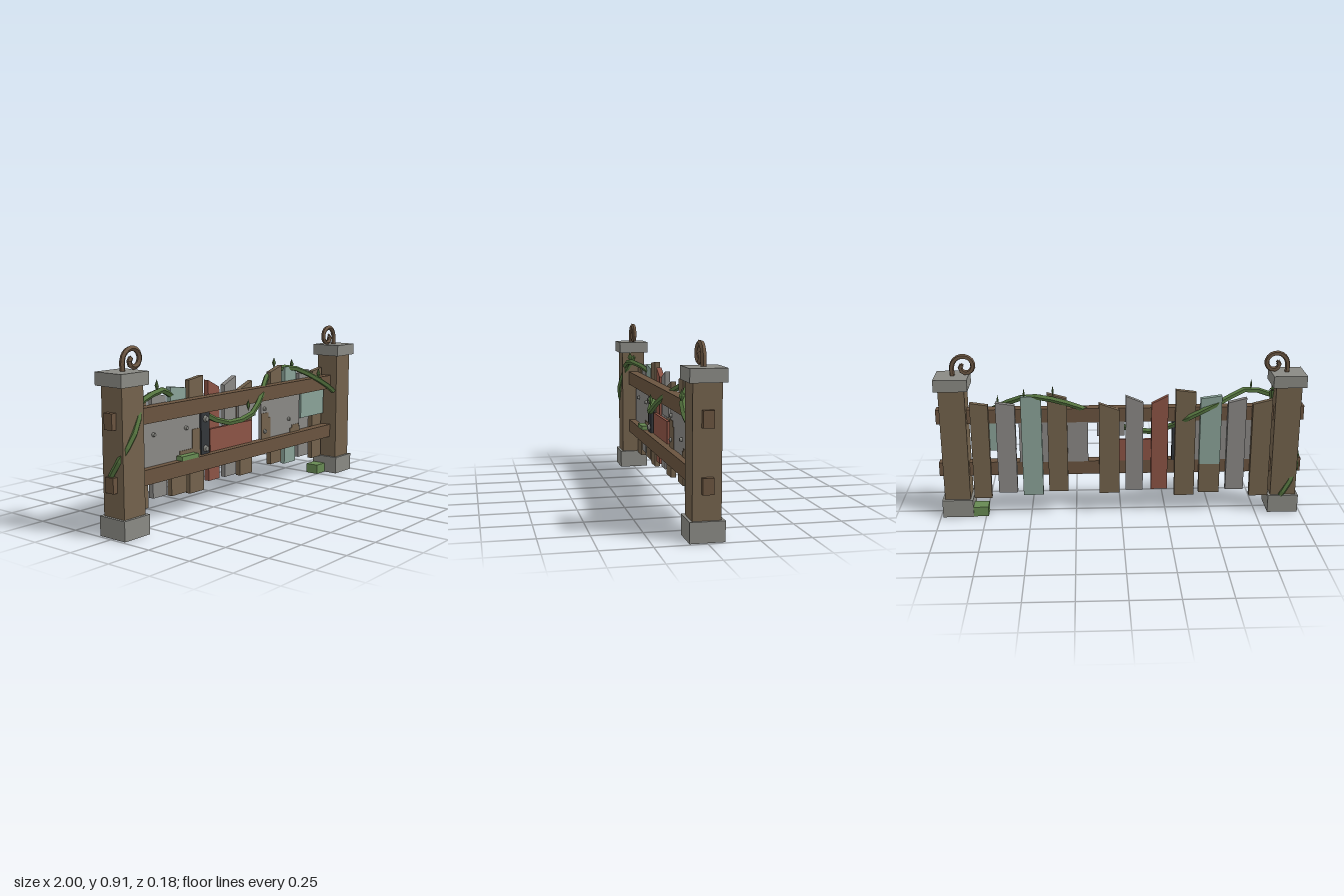
import * as THREE from 'three';

const mat = (name, color, flatShading = false) => {
  const m = new THREE.MeshStandardMaterial({ color, flatShading });
  m.name = name;
  return m;
};

export function createModel() {
  const model = new THREE.Group();
  model.name = 'fence';
  const wood = mat('wood', 0x73624c);
  const railWood = mat('railWood', 0x6a543f);
  const stone = mat('stone', 0x8a8a84);
  const grey = mat('weatheredGrey', 0x8a8885);
  const teal = mat('fadedTeal', 0x8aa398);
  const red = mat('fadedRed', 0x8c5345);
  const iron = mat('darkIron', 0x33363a);
  const hookMetal = mat('hookMetal', 0x6b5642, true);
  const vineGreen = mat('vineGreen', 0x55743f, true);
  const moss = mat('moss', 0x678a52);

  const add = (name, geo, material) => {
    const mesh = new THREE.Mesh(geo, material);
    mesh.name = name;
    model.add(mesh);
    return mesh;
  };
  // Box given by its limits on each axis
  const box = (name, x0, x1, y0, y1, z0, z1, material) => {
    const mesh = add(name, new THREE.BoxGeometry(x1 - x0, y1 - y0, z1 - z0), material);
    mesh.position.set((x0 + x1) / 2, (y0 + y1) / 2, (z0 + z1) / 2);
    return mesh;
  };
  const tube = (name, points, segments, radius, sides, material) => {
    const curve = new THREE.CatmullRomCurve3(points.map(p => new THREE.Vector3(...p)));
    add(name, new THREE.TubeGeometry(curve, segments, radius, sides), material);
    // close both ends
    [0, 1].forEach(t => {
      const tip = add(name + 'End', new THREE.OctahedronGeometry(radius * 0.8), material);
      tip.position.copy(curve.getPoint(t));
    });
  };

  // Posts with stone base, cap and scroll hook
  for (const s of [-1, 1]) {
    const c = s * 0.903;
    box('post', c - 0.07, c + 0.07, 0.09, 0.74, -0.07, 0.068, wood);
    box('postBase', c - 0.084, c + 0.084, 0, 0.1, -0.086, 0.083,
      [stone, stone, stone, iron, stone, stone]);
    box('postCap', c - 0.09, c + 0.09, 0.73, 0.795, -0.09, 0.087, stone);
    const spiral = [[s * 0.898, 0.785, 0]];
    for (let i = 0; i <= 14; i++) {
      const a = i * 0.5, r = 0.068 - i * 0.0037;
      spiral.push([s * (0.832 + r * Math.cos(a)), 0.842 + r * Math.sin(a), 0]);
    }
    tube('scrollHook', spiral, 18, 0.014, 5, hookMetal);
  }

  // Rails running through both posts
  box('lowerRail', -1, 1, 0.225, 0.302, -0.028, 0.026, railWood);
  box('upperRail', -1, 1, 0.528, 0.608, -0.028, 0.026, railWood);

  // Pickets: left, right, bottom, top at left, top at right
  const picket = (x0, x1, y0, yl, yr, material) => {
    const shape = new THREE.Shape([[x0, y0], [x1, y0], [x1, yr], [x0, yl]].map(p => new THREE.Vector2(...p)));
    const geo = new THREE.ExtrudeGeometry(shape, { depth: 0.029, bevelEnabled: false });
    add('picket', geo.translate(0, 0, -0.057), material);
  };
  [
    [-0.82, -0.715, 0.09, 0.655, 0.63, wood],
    [-0.68, -0.58, 0.13, 0.665, 0.64, grey],
    [-0.545, -0.43, 0.285, 0.68, 0.665, teal],
    [-0.545, -0.43, 0.115, 0.285, 0.285, wood],
    [-0.405, -0.295, 0.1, 0.7, 0.715, wood],
    [-0.255, -0.165, 0.14, 0.685, 0.64, red],
    [-0.12, -0.025, 0.137, 0.645, 0.685, grey],
    [0.01, 0.12, 0.12, 0.605, 0.645, wood],
    [0.292, 0.398, 0.135, 0.675, 0.705, wood],
    [0.43, 0.54, 0.115, 0.69, 0.685, teal],
    [0.572, 0.675, 0.132, 0.64, 0.655, grey],
    [0.715, 0.812, 0.1, 0.64, 0.655, wood],
  ].forEach(p => picket(...p));

  // Patch panels between the rails
  const zb = -0.028, zf = -0.012;
  box('leftPanel', -0.8, -0.345, 0.3, 0.53, zb, zf, grey);
  box('redPanel', -0.26, 0.1, 0.3, 0.425, zb, zf, red);
  box('smallPanel', -0.02, 0.13, 0.448, 0.53, zb, zf, grey);
  box('rightPanel', 0.18, 0.555, 0.3, 0.53, zb, zf, grey);
  box('tealPanel', 0.572, 0.812, 0.372, 0.53, zb, zf, teal);
  box('ironStrap', -0.345, -0.28, 0.3, 0.53, zb, 0, iron);

  // Stepped rust patches on the panels: left, right, top
  [[-0.405, -0.345, 0.445], [-0.5, -0.405, 0.345], [-0.525, -0.5, 0.325],
    [0.18, 0.265, 0.42], [0.18, 0.245, 0.45], [0.46, 0.555, 0.328], [0.48, 0.545, 0.345],
  ].forEach(([x0, x1, y]) => box('rustPatch', x0, x1, 0.3, y, zf, zf + 0.004, wood));

  // Rivets and strap bolts
  [[-0.69, 0.46, 0.012, zf], [-0.452, 0.46, 0.012, zf], [0.21, 0.475, 0.012, zf],
    [0.21, 0.345, 0.014, zf], [0.445, 0.385, 0.012, zf],
    [-0.312, 0.49, 0.019, 0], [-0.312, 0.332, 0.019, 0],
  ].forEach(([x, y, r, z]) => {
    const geo = new THREE.CylinderGeometry(r * 0.7, r, 0.016, 8).rotateX(Math.PI / 2);
    add('rivet', geo, stone).position.set(x, y, z + 0.006);
  });

  // Vine weaving along the fence
  tube('weavingVine', [
    [-0.84, 0.645, 0.05], [-0.7, 0.685, 0.042], [-0.54, 0.64, -0.04], [-0.37, 0.56, -0.058],
    [-0.27, 0.495, -0.01], [-0.18, 0.452, 0.025], [0, 0.475, 0.055], [0.12, 0.55, 0.03],
    [0.33, 0.665, -0.065], [0.5, 0.682, -0.035], [0.7, 0.585, 0.05], [0.83, 0.515, 0.047],
  ], 22, 0.016, 5, vineGreen);

  // Vine winding down the left post
  const coil = [];
  for (let i = 0; i <= 10; i++) {
    const a = -Math.PI / 2 + i * Math.PI / 6;
    coil.push([-0.903 - 0.079 * Math.sin(a), 0.7 - i * 0.0645, 0.075 * Math.cos(a)]);
  }
  tube('postVine', coil, 10, 0.016, 5, vineGreen);

  // Small pointed leaves
  [[0.365, 0.72, -0.06], [-0.02, 0.53, 0.055], [0.67, 0.635, 0.045], [-0.715, 0.71, 0.042], [0.52, 0.7, -0.045]]
    .forEach(([x, y, z]) => {
      const leaf = add('leaf', new THREE.OctahedronGeometry(1), vineGreen);
      leaf.scale.set(0.006, 0.032, 0.014);
      leaf.position.set(x, y, z);
    });

  // Moss clumps
  box('railMoss', -0.525, -0.4, 0.302, 0.325, -0.01, 0.03, moss);
  box('groundMoss', 0.737, 0.85, 0, 0.055, -0.08, 0, moss);
  return model;
}
